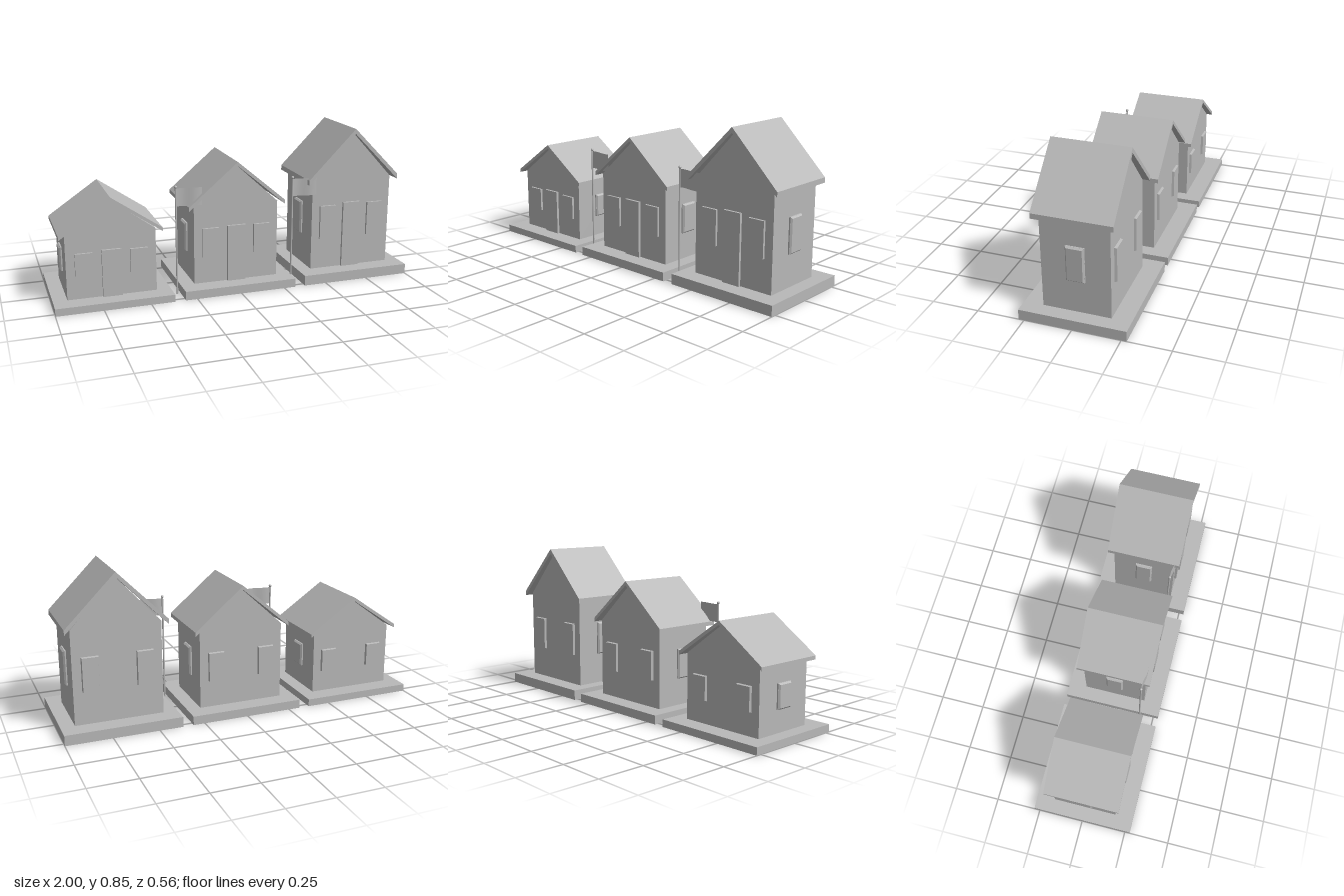
import * as THREE from 'three';

const grey = new THREE.MeshStandardMaterial({ color: 0xb8b8b8 });
grey.name = 'plain grey';
const greyCloth = new THREE.MeshStandardMaterial({ color: 0xb8b8b8, side: THREE.DoubleSide });
greyCloth.name = 'plain grey cloth';

function add(parent, name, geometry, x = 0, y = 0, z = 0, material = grey) {
  const mesh = new THREE.Mesh(geometry, material);
  mesh.name = name;
  mesh.position.set(x, y, z);
  parent.add(mesh);
  return mesh;
}

// Outline in x/y pushed along z, centred on z = 0
function prism(points, depth) {
  const shape = new THREE.Shape(points.map(([x, y]) => new THREE.Vector2(x, y)));
  return new THREE.ExtrudeGeometry(shape, { depth, bevelEnabled: false }).translate(0, 0, -depth / 2);
}

// Plate whose outer (+z) face is inset to give sloping edges
function bevelledPlate(w, h, d, inset) {
  const g = new THREE.BoxGeometry(w, h, d);
  const p = g.attributes.position;
  for (let i = 0; i < p.count; i++) {
    if (p.getZ(i) > 0) {
      p.setX(i, p.getX(i) - Math.sign(p.getX(i)) * inset);
      p.setY(i, p.getY(i) - Math.sign(p.getY(i)) * inset);
    }
  }
  const flat = g.toNonIndexed();
  flat.computeVertexNormals();
  return flat;
}

const WALL_X = 0.238, WALL_Z = 0.177, ROOF_X = 0.271;

function house(name, x, s) {
  const g = new THREE.Group();
  g.name = name;
  g.position.x = x;
  add(g, 'base', new THREE.BoxGeometry(0.628, s.base, 0.556), 0, s.base / 2, 0);

  // Gabled body
  add(g, 'walls', prism([
    [-WALL_X, s.base], [WALL_X, s.base], [WALL_X, s.wall],
    [0, s.apex - s.thick], [-WALL_X, s.wall]], WALL_Z * 2));

  // Chevron roof with overhang
  add(g, 'roof', prism([
    [-ROOF_X, s.eave - s.thick], [0, s.apex - s.thick], [ROOF_X, s.eave - s.thick],
    [ROOF_X, s.eave], [0, s.apex], [-ROOF_X, s.eave]], 0.41));

  add(g, 'door', new THREE.BoxGeometry(0.104, s.door - s.base, 0.018),
    0, (s.door + s.base) / 2, WALL_Z + 0.005);

  // Windows on all four walls
  const [low, high] = s.window;
  const h = high - low, y = (low + high) / 2;
  for (const side of [-1, 1]) {
    add(g, 'frontWindow', new THREE.BoxGeometry(0.093, h, 0.016), side * 0.145, y, WALL_Z + 0.005);
    add(g, 'backWindow', bevelledPlate(0.093, h, 0.016, 0.004), side * 0.145, y, -WALL_Z - 0.005)
      .rotation.y = Math.PI;
    add(g, 'sideWindowFrame', new THREE.BoxGeometry(0.01, h, 0.096), side * (WALL_X + 0.002), y, 0);
    add(g, 'sideWindow', bevelledPlate(0.096, h, 0.009, 0.008), side * (WALL_X + 0.0112), y, 0)
      .rotation.y = side * Math.PI / 2;
  }
  return g;
}

function flagpole(x) {
  const g = new THREE.Group();
  g.name = 'flagpole';
  g.position.set(x, 0, 0.17);
  add(g, 'pole', new THREE.CylinderGeometry(0.005, 0.005, 0.595, 12), 0, 0.2975, 0);
  add(g, 'finial', new THREE.SphereGeometry(0.008, 12, 8), 0, 0.597, 0);

  // Gently waving cloth
  const cloth = new THREE.PlaneGeometry(0.14, 0.098, 12, 2).translate(0.07, 0, 0);
  const p = cloth.attributes.position;
  for (let i = 0; i < p.count; i++) {
    const t = p.getX(i) / 0.14;
    p.setZ(i, 0.009 * t - 0.004 * Math.sin(t * Math.PI * 2));
  }
  cloth.computeVertexNormals();
  add(g, 'flag', cloth, 0, 0.54, 0, greyCloth);
  return g;
}

export function createModel() {
  const model = new THREE.Group();
  model.name = 'houseRow';
  model.add(
    house('smallHouse', -0.686, { base: 0.04, wall: 0.387, eave: 0.395, apex: 0.58, thick: 0.02, door: 0.297, window: [0.158, 0.289] }),
    house('mediumHouse', 0, { base: 0.048, wall: 0.476, eave: 0.487, apex: 0.715, thick: 0.022, door: 0.363, window: [0.195, 0.358] }),
    house('tallHouse', 0.686, { base: 0.056, wall: 0.567, eave: 0.58, apex: 0.852, thick: 0.028, door: 0.433, window: [0.232, 0.422] }),
    flagpole(-0.333),
    flagpole(0.33));
  return model;
}
